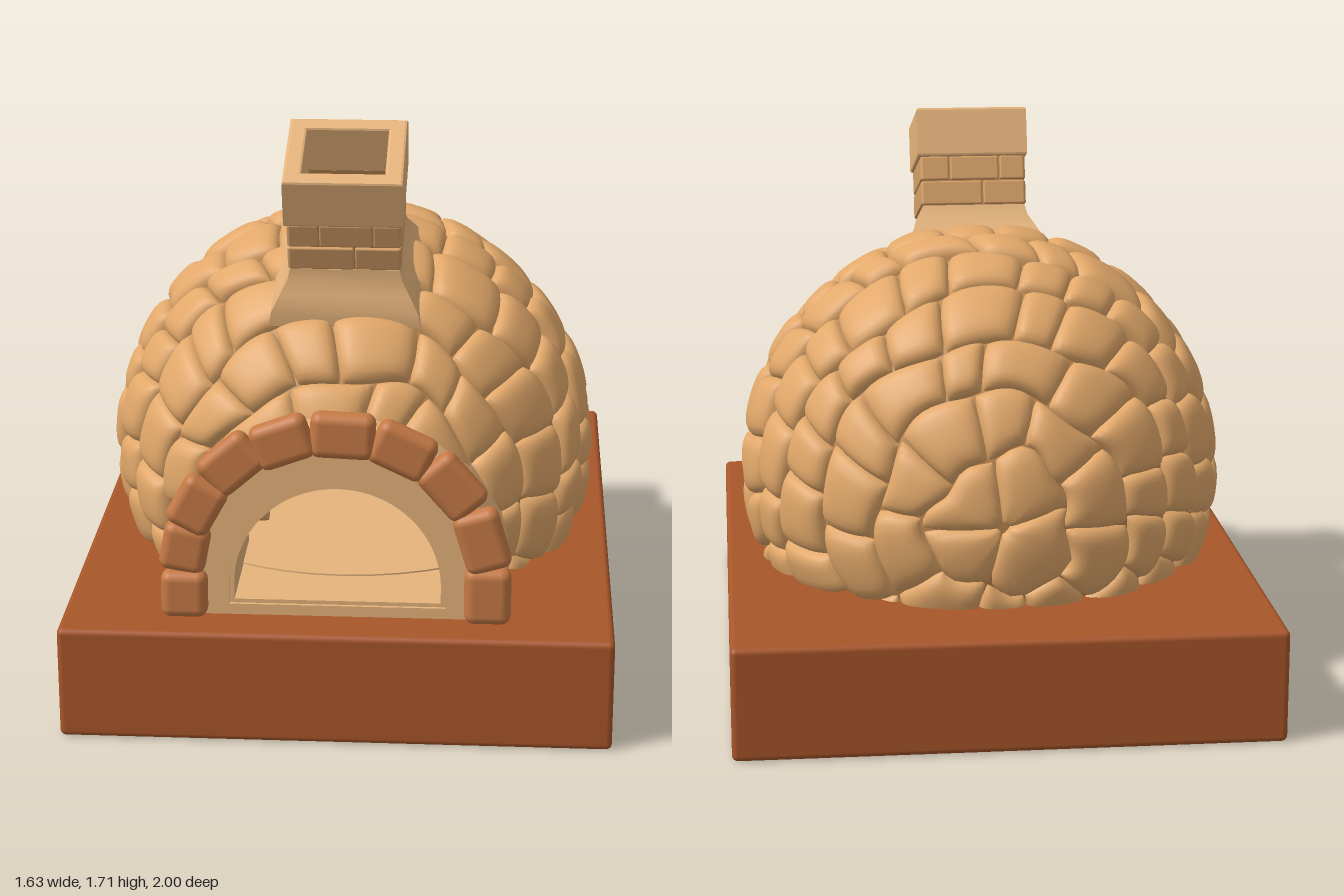
import * as THREE from 'three';
import { mergeGeometries, toCreasedNormals } from 'three/addons/utils/BufferGeometryUtils.js';
import { RoundedBoxGeometry } from 'three/addons/geometries/RoundedBoxGeometry.js';

const mat = (color, side = THREE.FrontSide) => new THREE.MeshStandardMaterial({ color, side });
const BASE = mat(0xa8562a);
const STONE = mat(0xe2a86a);
const MORTAR = mat(0xc08850, THREE.DoubleSide);
const PLASTER = mat(0xe6b47c, THREE.DoubleSide);
const BRICK = mat(0xd6a066);
const ARCH = mat(0xc67a46);

const CENTER = new THREE.Vector3(0, 0.6, 0);
const RADII = new THREE.Vector3(0.762, 0.768, 0.768);

let seed = 11;
const rand = () => (seed = (seed * 16807) % 2147483647) / 2147483647;

function add(parent, name, geometry, material, x = 0, y = 0, z = 0) {
  const mesh = new THREE.Mesh(geometry, material);
  mesh.name = name;
  mesh.position.set(x, y, z);
  parent.add(mesh);
  return mesh;
}

// Point on the dome; the polar axis runs from the back (theta 0) to the front
const domePoint = (theta, phi, k) => new THREE.Vector3(
  Math.sin(theta) * Math.cos(phi), Math.sin(theta) * Math.sin(phi), -Math.cos(theta),
).multiply(RADII).multiplyScalar(k).add(CENTER);

// One pillow-shaped stone between two rings and two angles
function stoneGeometry(edgeA, edgeB, phiA, phiB, bulge, skew) {
  const n = 12, pos = [], idx = [];
  for (let i = 0; i <= n; i++) {
    for (let j = 0; j <= n; j++) {
      const s = Math.sin((i / n - 0.5) * Math.PI), t = Math.sin((j / n - 0.5) * Math.PI);
      const u = s * Math.sqrt(1 - 0.13 * t * t), v = t * Math.sqrt(1 - 0.13 * s * s);
      const phi = THREE.MathUtils.lerp(phiA, phiB, 0.5 + v * 0.51) + skew * u;
      const theta = THREE.MathUtils.lerp(edgeA(phi), edgeB(phi), 0.5 + u * 0.51);
      const lift = Math.sqrt((1 - s ** 4) * (1 - t ** 4));
      pos.push(...domePoint(theta, phi, 0.945 + bulge * lift).toArray());
      if (i < n && j < n) {
        const a = i * (n + 1) + j, c = a + n + 1;
        idx.push(a, a + 1, c, a + 1, c + 1, c);
      }
    }
  }
  const g = new THREE.BufferGeometry();
  g.setAttribute('position', new THREE.Float32BufferAttribute(pos, 3));
  g.setIndex(idx);
  g.computeVertexNormals();
  return g;
}

function domeStones() {
  const rings = 11, width = 0.25, stones = [];
  const edge = (r) => (phi) => (r === 0 ? 0.02
    : 0.05 + r * width + 0.03 * Math.sin(3 * phi + r * 2.1) + 0.018 * Math.sin(7 * phi + r));
  for (let r = 0; r < rings; r++) {
    const mid = 0.05 + (r + 0.5) * width;
    const count = Math.max(4, Math.round((2 * Math.PI * 0.765 * Math.sin(mid)) / 0.195));
    const start = rand() * 6, step = (2 * Math.PI) / count;
    const cuts = Array.from({ length: count }, (_, i) => start + (i + 0.4 * (rand() - 0.5)) * step);
    cuts.push(cuts[0] + 2 * Math.PI);
    const skew = (rand() - 0.5) * 0.08;
    for (let i = 0; i < count; i++) {
      const bulge = 0.05 + rand() * 0.012;
      const p = domePoint(mid, (cuts[i] + cuts[i + 1]) / 2, 1);
      const inTunnel = p.z > 0 && Math.hypot(p.x, Math.max(0, p.y - 0.415)) < 0.42;
      if (p.y < 0.24 || inTunnel) continue;
      stones.push(stoneGeometry(edge(r), edge(r + 1), cuts[i], cuts[i + 1], bulge, skew));
    }
  }
  return mergeGeometries(stones);
}

// Inner dome, open towards the tunnel and cut flat inside the base
function domeShell() {
  const g = new THREE.SphereGeometry(0.94, 64, 40, 0, Math.PI * 2, 0.54, Math.PI - 0.54);
  g.rotateX(Math.PI / 2 + 0.18).scale(...RADII.toArray());
  const p = g.attributes.position;
  for (let i = 0; i < p.count; i++) p.setY(i, Math.max(p.getY(i), -0.3));
  return g;
}

// Half-round opening with a straight lower part
function archPath(path, half, bottom, spring) {
  path.moveTo(-half, bottom);
  path.lineTo(half, bottom);
  path.lineTo(half, spring);
  path.absarc(0, spring, half, 0, Math.PI, false);
  path.lineTo(-half, bottom);
  return path;
}

function archFrame(outer, inner, depth) {
  const shape = archPath(new THREE.Shape(), ...outer);
  shape.holes.push(archPath(new THREE.Path(), ...inner));
  return toCreasedNormals(
    new THREE.ExtrudeGeometry(shape, { depth, bevelEnabled: false, curveSegments: 40 }), 0.5);
}

// Upright square tube standing on y = 0
function squareTube(half, hole, height, bevel) {
  const square = (p, h) => {
    p.moveTo(-h, -h); p.lineTo(h, -h); p.lineTo(h, h); p.lineTo(-h, h); p.lineTo(-h, -h);
    return p;
  };
  const shape = square(new THREE.Shape(), half - bevel);
  shape.holes.push(square(new THREE.Path(), hole + bevel));
  const g = new THREE.ExtrudeGeometry(shape, {
    depth: height - 2 * bevel, bevelEnabled: bevel > 0, bevelSize: bevel, bevelThickness: bevel, bevelSegments: 2,
  });
  return g.translate(0, 0, bevel).rotateX(-Math.PI / 2);
}

function createChimney() {
  const chimney = new THREE.Group();
  chimney.name = 'chimney';
  chimney.position.set(0, 1.655, 0.432);
  chimney.rotation.x = 0.32;
  add(chimney, 'chimneyCap', squareTube(0.177, 0.122, 0.157, 0.008), PLASTER, 0, -0.157, 0);
  add(chimney, 'chimneyCore', squareTube(0.16, 0.122, 0.24, 0), MORTAR, 0, -0.39, 0);
  // Two brick courses in alternating bond on four sides
  const rowHeight = 0.08;
  for (let row = 0; row < 2; row++) {
    for (let side = 0; side < 4; side++) {
      const cuts = (row + side) % 2 ? [-0.168, 0.03, 0.168] : [-0.168, -0.075, 0.085, 0.168];
      for (let i = 0; i < cuts.length - 1; i++) {
        const g = new RoundedBoxGeometry(cuts[i + 1] - cuts[i] - 0.004, rowHeight - 0.004, 0.03, 2, 0.006);
        g.translate((cuts[i] + cuts[i + 1]) / 2, 0, 0.154).rotateY(side * Math.PI / 2);
        add(chimney, 'chimneyBrick', g, BRICK, 0, -0.195 - row * rowHeight, 0);
      }
    }
  }
  // Square collar flaring out onto the dome
  const profile = [[0.228, -0.48], [0.22, -0.435], [0.195, -0.39], [0.172, -0.35], [0.163, -0.315], [0.125, -0.315]]
    .map(([h, y]) => new THREE.Vector2(h * Math.SQRT2, y));
  add(chimney, 'chimneyCollar',
    toCreasedNormals(new THREE.LatheGeometry(profile, 4, Math.PI / 4), 0.6), PLASTER);
  return chimney;
}

export function createModel() {
  const model = new THREE.Group();
  model.name = 'stoneOven';

  add(model, 'base', new RoundedBoxGeometry(1.63, 0.345, 2, 3, 0.018), BASE, 0, 0.1725, 0);

  // Dome covered in stones
  add(model, 'domeShell', domeShell(), MORTAR, ...CENTER.toArray());
  add(model, 'domeStones', domeStones(), STONE);
  add(model, 'ovenFloor', new THREE.CylinderGeometry(0.66, 0.66, 0.06, 48), PLASTER, 0, 0.365, 0);

  // Entrance tunnel with a recessed rim around the mouth
  add(model, 'entranceTunnel', archFrame([0.505, 0.34, 0.412], [0.32, 0.378, 0.44], 0.445), PLASTER, 0, 0, 0.41);
  add(model, 'mouthRim', archFrame([0.325, 0.372, 0.44], [0.305, 0.39, 0.44], 0.43), PLASTER, 0, 0, 0.415);

  // Arch stones: x, y, length along the arch
  const archStones = [
    [-0.45, 0.418, 0.145], [-0.447, 0.56, 0.15], [-0.408, 0.698, 0.165], [-0.306, 0.825, 0.18], [-0.157, 0.898, 0.175],
    [0.018, 0.92, 0.19], [0.19, 0.876, 0.185], [0.335, 0.768, 0.19], [0.425, 0.604, 0.19], [0.443, 0.43, 0.175],
  ];
  for (const [x, y, length] of archStones) {
    const g = new RoundedBoxGeometry(length, 0.138, 0.07, 4, 0.03);
    const stone = add(model, 'archStone', g, ARCH, x, y, 0.86 + rand() * 0.012);
    stone.rotation.z = -Math.atan2(x, Math.max(0, y - 0.475));
  }

  model.add(createChimney());
  return model;
}
